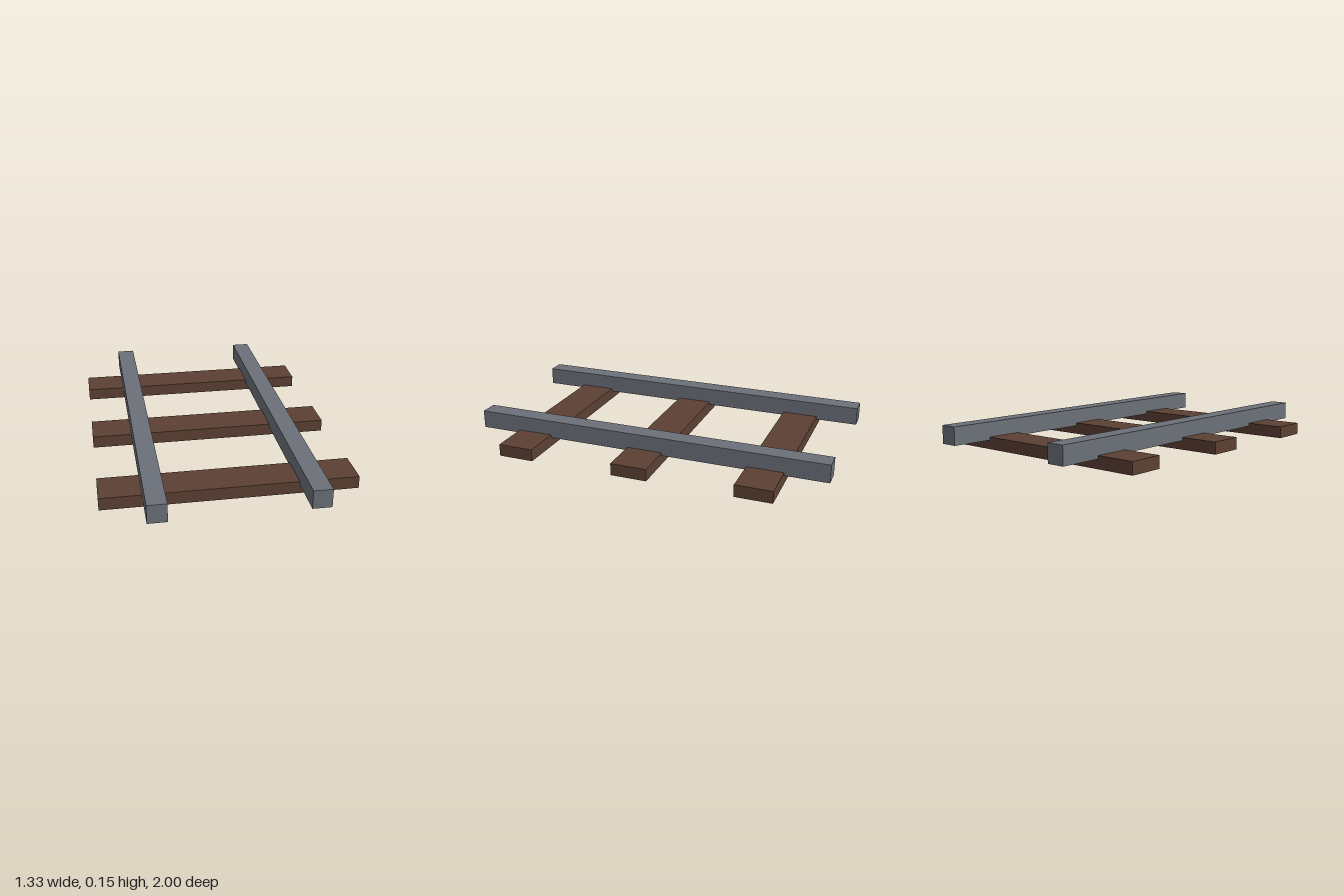
import * as THREE from 'three';

export function createModel() {
  const track = new THREE.Group();
  track.name = 'railTrack';

  const wood = new THREE.MeshStandardMaterial({ color: 0x5c4033 });
  const steel = new THREE.MeshStandardMaterial({ color: 0x6b7078 });

  function addBeam(name, geometry, material, x, y, z) {
    const beam = new THREE.Mesh(geometry, material);
    beam.name = name;
    beam.position.set(x, y, z);
    track.add(beam);
  }

  // Three wooden sleepers lying across the track
  const sleeper = new THREE.BoxGeometry(1.333, 0.067, 0.2);
  ['backSleeper', 'middleSleeper', 'frontSleeper'].forEach((name, i) => {
    addBeam(name, sleeper, wood, 0, 0.0335, (i - 1) * 0.667);
  });

  // Two square rails, let slightly into the sleepers
  const rail = new THREE.BoxGeometry(0.1, 0.1, 2);
  for (const side of [-1, 1]) {
    addBeam(side > 0 ? 'leftRail' : 'rightRail', rail, steel, side * 0.4, 0.1, 0);
  }

  return track;
}
